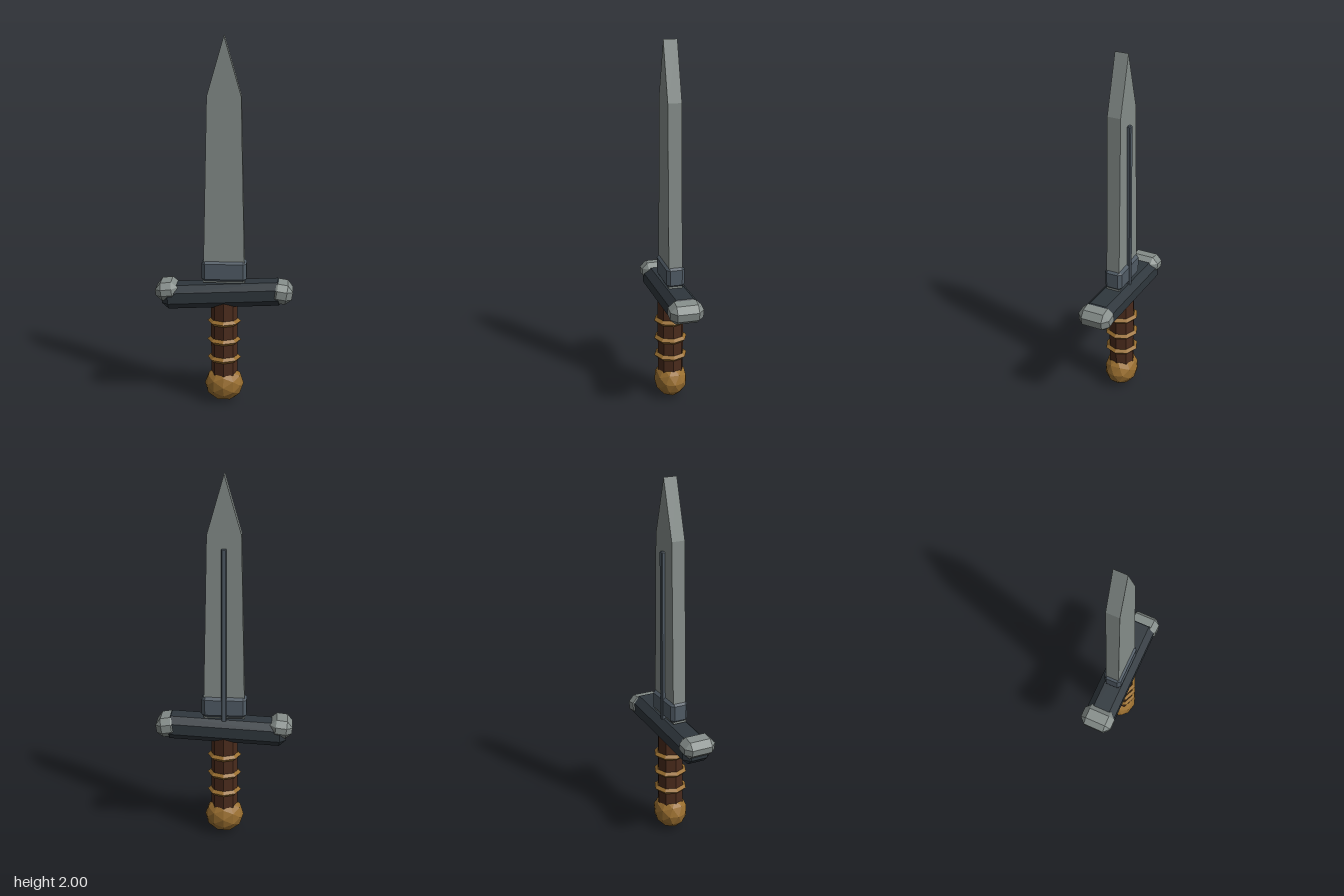
import * as THREE from 'three';
import { ConvexGeometry } from 'three/addons/geometries/ConvexGeometry.js';

const mat = (color) => new THREE.MeshStandardMaterial({ color, flatShading: true });

// Box with every edge and corner chamfered by c; w, h, d are the full sizes
function chamferBox(w, h, d, c) {
  const pts = [];
  for (const sx of [-1, 1]) for (const sy of [-1, 1]) for (const sz of [-1, 1]) {
    for (let axis = 0; axis < 3; axis++) {
      const inset = [c, c, c];
      inset[axis] = 0;
      pts.push(new THREE.Vector3(
        sx * (w / 2 - inset[0]), sy * (h / 2 - inset[1]), sz * (d / 2 - inset[2])));
    }
  }
  return new ConvexGeometry(pts);
}

export function createModel() {
  const group = new THREE.Group();
  const steel = mat(0x858d8a), slate = mat(0x505b65), darkIron = mat(0x2f373d);
  const leather = mat(0x4a2b1c), brass = mat(0x9a6f30);

  const add = (name, geometry, material, x, y, z) => {
    const mesh = new THREE.Mesh(geometry, material);
    mesh.name = name;
    mesh.position.set(x, y, z);
    group.add(mesh);
    return mesh;
  };

  // Flat, tapering blade
  const outline = new THREE.Shape([
    [-0.112, 0.69], [0.112, 0.69], [0.09, 1.69], [0, 2], [-0.09, 1.69],
  ].map(([x, y]) => new THREE.Vector2(x, y)));
  add('blade', new THREE.ExtrudeGeometry(outline, { depth: 0.074, bevelEnabled: false }),
    steel, 0, 0, -0.037);

  // Raised rib on the back of the blade
  add('bladeRib', chamferBox(0.028, 0.96, 0.022, 0.004), slate, 0, 1.14, -0.044);

  // Collar at the root of the blade
  add('bladeCollar', chamferBox(0.242, 0.12, 0.101, 0.018), slate, 0, 0.753, -0.001);

  // Slightly tilted crossguard
  add('crossguard', chamferBox(0.665, 0.128, 0.165, 0.035), darkIron, -0.005, 0.621, -0.001)
    .rotation.z = 0.05;

  // End caps of the crossguard
  add('leftGuardCap', chamferBox(0.118, 0.107, 0.18, 0.032), steel, 0.31, 0.638, 0)
    .rotation.z = -0.16;
  add('rightGuardCap', chamferBox(0.122, 0.098, 0.18, 0.032), steel, -0.308, 0.642, 0)
    .rotation.z = 0.12;

  // Eight-sided grip with three binding rings
  add('grip', new THREE.CylinderGeometry(0.072, 0.072, 0.45, 8), leather, 0, 0.375, 0);
  for (const y of [0.257, 0.36, 0.466]) {
    add('gripRing', new THREE.TorusGeometry(0.076, 0.016, 4, 8), brass, 0, y, 0)
      .rotation.x = Math.PI / 2;
  }

  // Faceted pommel, a little flattened front to back
  add('pommel', new THREE.IcosahedronGeometry(1, 1), brass, 0, 0.105, 0)
    .scale.set(0.107, 0.1, 0.092);

  return group;
}
